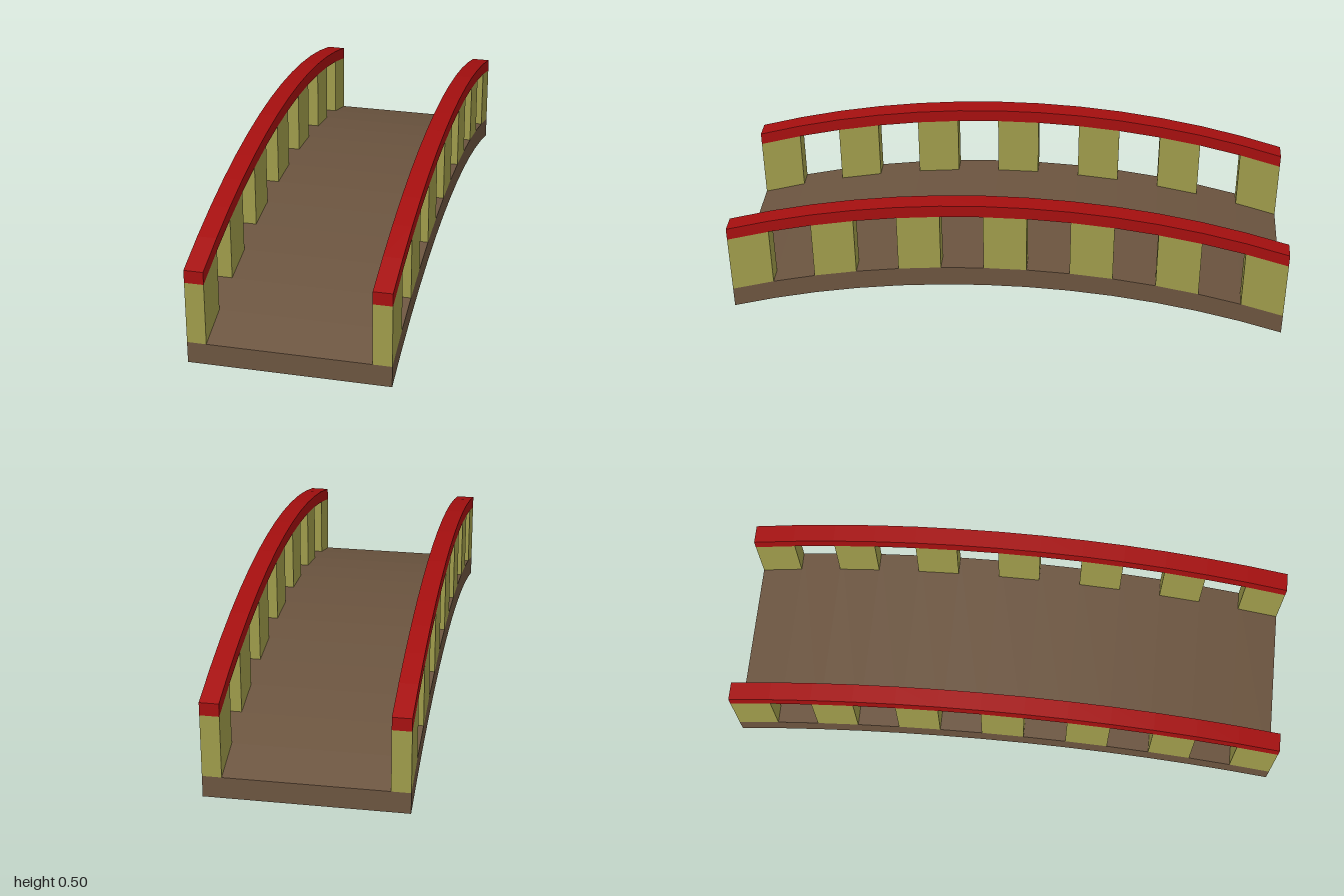
import * as THREE from 'three';

const SEGMENTS = 13;            // straight facets along the arch
const RISE = 0.153;             // height gained from end to crown
const RADIUS = (1 + RISE * RISE) / (2 * RISE);
const HALF_WIDTH = 0.345;
const RAIL_WIDTH = 0.066;

// z of a facet boundary, and the arch height there
const stationZ = (i) => -1 + (2 * i) / SEGMENTS;
const archY = (z) => RISE - RADIUS + Math.sqrt(RADIUS * RADIUS - z * z);

// Band that follows the arch between two stations, extruded across x
function archBand(name, material, first, last, bottom, top, centreX, width) {
  const lower = [];
  const upper = [];
  for (let i = first; i <= last; i++) {
    const z = stationZ(i);
    lower.push(new THREE.Vector2(z, archY(z) + bottom));
    upper.unshift(new THREE.Vector2(z, archY(z) + top));
  }
  const shape = new THREE.Shape([...lower, ...upper]);
  const geometry = new THREE.ExtrudeGeometry(shape, { depth: width, bevelEnabled: false });
  geometry.translate(0, 0, -width / 2).rotateY(-Math.PI / 2).translate(centreX, 0, 0);
  const mesh = new THREE.Mesh(geometry, material);
  mesh.name = name;
  return mesh;
}

export function createModel() {
  const paint = (color) => new THREE.MeshStandardMaterial({ color, flatShading: true });
  const wood = paint(0x6b543f);
  const olive = paint(0x9e9b4a);
  const red = paint(0xa50f0f);

  const bridge = new THREE.Group();
  bridge.name = 'archedBridge';

  // Walkway
  bridge.add(archBand('deck', wood, 0, SEGMENTS, 0, 0.077, 0, HALF_WIDTH * 2));

  // Railings: a post on every other facet, with a handrail on top
  for (const [side, sign] of [['left', 1], ['right', -1]]) {
    const railing = new THREE.Group();
    railing.name = side + 'Railing';
    const x = sign * (HALF_WIDTH - RAIL_WIDTH / 2);
    for (let i = 0; i < SEGMENTS; i += 2) {
      railing.add(archBand('post', olive, i, i + 1, 0.077, 0.301, x, RAIL_WIDTH));
    }
    railing.add(archBand('handrail', red, 0, SEGMENTS, 0.301, 0.347, x, RAIL_WIDTH));
    bridge.add(railing);
  }
  return bridge;
}
